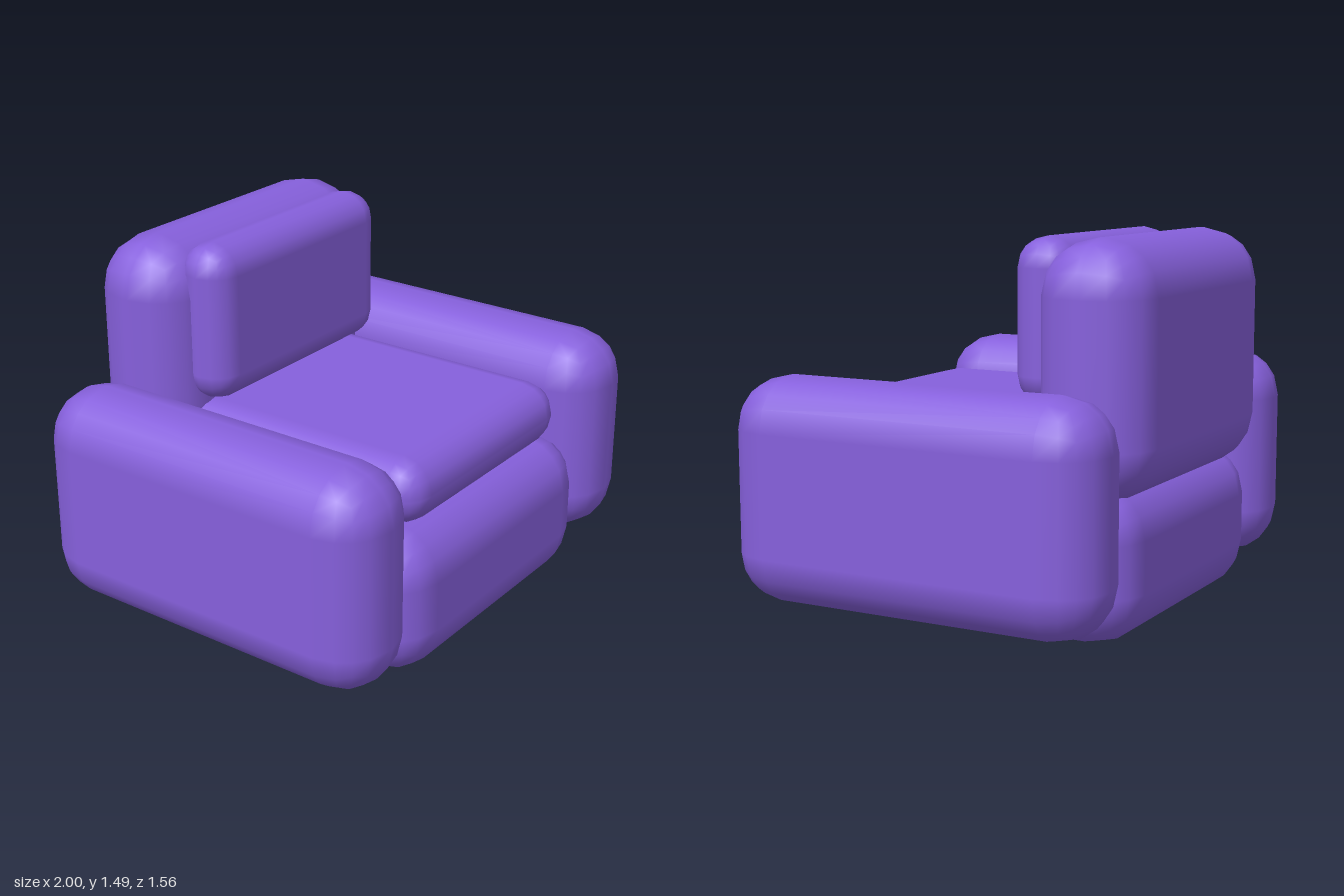
import * as THREE from 'three';
import { RoundedBoxGeometry } from 'three/addons/geometries/RoundedBoxGeometry.js';

export function createModel() {
  const group = new THREE.Group();
  group.name = 'armchair';
  const fabric = new THREE.MeshStandardMaterial({ color: 0x8660dc });
  fabric.name = 'purpleFabric';

  // Padded block given by its extents on each axis
  function pad(name, [x0, x1], [y0, y1], [z0, z1], radius) {
    const mesh = new THREE.Mesh(new RoundedBoxGeometry(x1 - x0, y1 - y0, z1 - z0, 2, radius), fabric);
    mesh.name = name;
    mesh.position.set((x0 + x1) / 2, (y0 + y1) / 2, (z0 + z1) / 2);
    group.add(mesh);
  }

  pad('base', [-0.66, 0.66], [0, 0.6], [-0.74, 0.757], 0.2);
  pad('seatCushion', [-0.54, 0.54], [0.592, 0.852], [-0.67, 0.69], 0.125);
  pad('backrest', [-0.665, 0.665], [0.53, 1.492], [-0.78, -0.335], 0.21);
  pad('backCushion', [-0.528, 0.528], [0.862, 1.492], [-0.44, -0.203], 0.115);

  // Matching armrests
  pad('leftArmrest', [0.58, 1], [0.092, 0.966], [-0.763, 0.777], 0.2);
  pad('rightArmrest', [-1, -0.58], [0.092, 0.966], [-0.763, 0.777], 0.2);

  return group;
}
